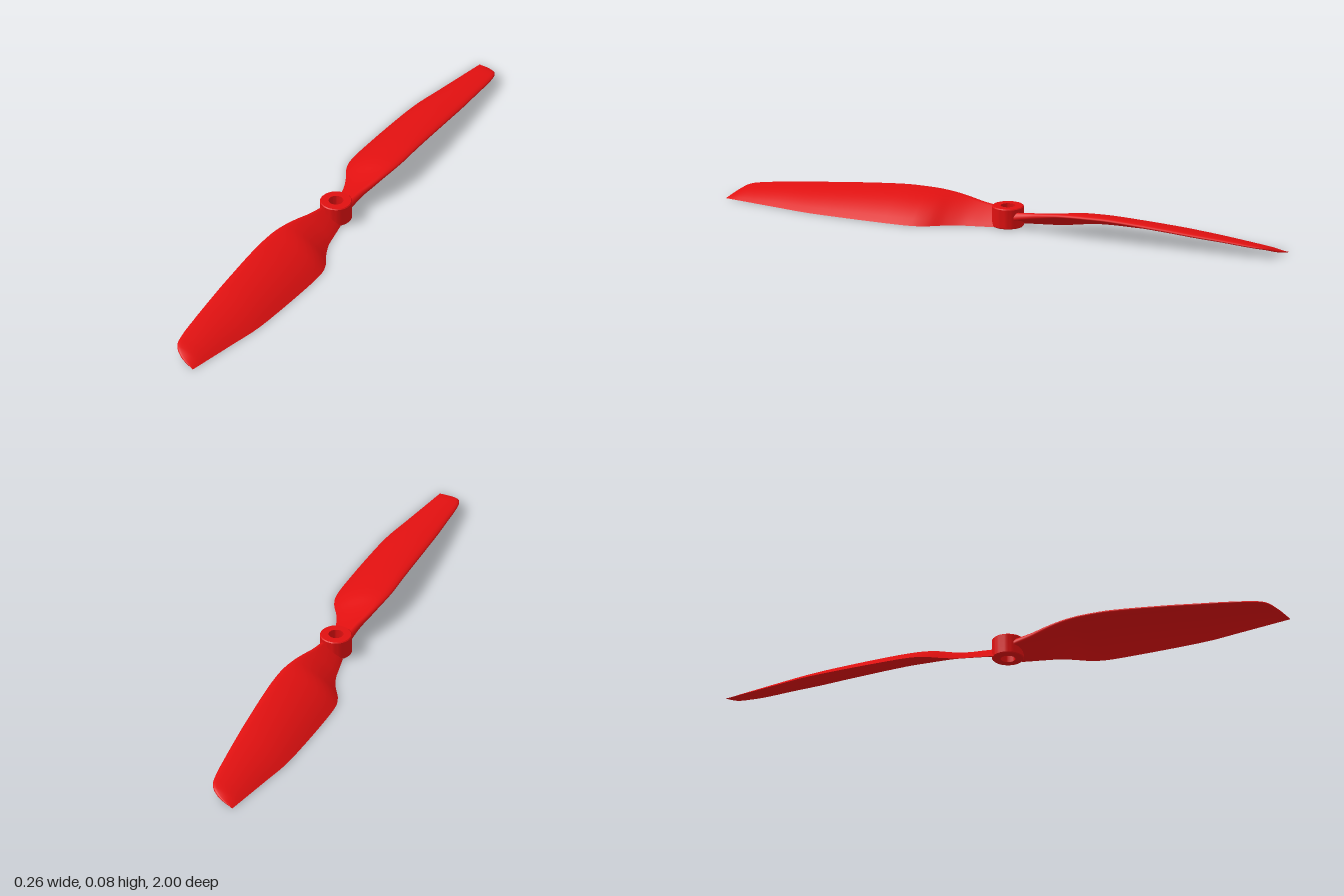
import * as THREE from 'three';
import { toCreasedNormals } from 'three/addons/utils/BufferGeometryUtils.js';

const material = new THREE.MeshStandardMaterial({ color: 0xe01010 });

// Blade stations: z, leading x, leading y, trailing x, thickness, camber
const stations = [
  [0.035, -0.038, 0.046, 0.040, 0.030, 0.002],
  [0.10, -0.046, 0.056, 0.053, 0.024, 0.003],
  [0.15, -0.058, 0.064, 0.064, 0.021, 0.006],
  [0.20, -0.068, 0.071, 0.085, 0.019, 0.011],
  [0.25, -0.076, 0.075, 0.114, 0.018, 0.018],
  [0.30, -0.080, 0.077, 0.129, 0.018, 0.020],
  [0.40, -0.080, 0.077, 0.130, 0.018, 0.020],
  [0.60, -0.075, 0.063, 0.120, 0.016, 0.019],
  [0.70, -0.071, 0.054, 0.110, 0.015, 0.017],
  [0.80, -0.065, 0.046, 0.090, 0.013, 0.014],
  [0.90, -0.057, 0.036, 0.070, 0.011, 0.010],
  [0.95, -0.042, 0.029, 0.060, 0.009, 0.007],
  [0.98, -0.005, 0.014, 0.054, 0.006, 0.003],
  [1.00, 0.048, 0.001, 0.050, 0.001, 0],
];

// Smooth monotone-friendly interpolation between two stations
function stationAt(i, t) {
  const at = (k) => stations[Math.min(Math.max(k, 0), stations.length - 1)];
  const [p, a, b, q] = [at(i - 1), at(i), at(i + 1), at(i + 2)];
  const h = b[0] - a[0];
  return a.map((v, c) => {
    if (c === 0) return v + h * t;
    const m0 = p === a ? (b[c] - v) / h : (b[c] - p[c]) / (b[0] - p[0]);
    const m1 = q === b ? (b[c] - v) / h : (q[c] - v) / (q[0] - a[0]);
    const t2 = t * t, t3 = t2 * t;
    return (2 * t3 - 3 * t2 + 1) * v + (t3 - 2 * t2 + t) * h * m0
      + (3 * t2 - 2 * t3) * b[c] + (t3 - t2) * h * m1;
  });
}

// Closed aerofoil: trailing edge, over the top, round the nose, back below
function section([z, lx, ly, tx, thick, camber]) {
  const half = 16, points = [];
  const dx = tx - lx, dy = -ly, len = Math.hypot(dx, dy);
  for (let k = -half; k <= half; k++) {
    const u = (k / half) ** 2;
    const nose = u < 0.1 ? Math.sqrt(1 - (1 - u / 0.1) ** 2) : 1;
    const offset = camber * 4 * u * (1 - u)
      - Math.sign(k) * thick / 2 * nose * Math.pow(1 - u, 0.7);
    points.push([
      lx + dx * u - dy / len * offset,
      Math.max(0, ly + dy * u + dx / len * offset),
      z,
    ]);
  }
  return points;
}

function bladeGeometry() {
  const rings = [];
  const steps = 5;
  for (let i = 0; i < stations.length - 1; i++) {
    for (let s = 0; s < steps; s++) rings.push(section(stationAt(i, s / steps)));
  }
  rings.push(section(stations[stations.length - 1]));
  const n = rings[0].length, index = [];
  for (let j = 0; j < rings.length - 1; j++) {
    for (let i = 0; i < n - 1; i++) {
      const a = j * n + i, b = a + 1, c = a + n, d = c + 1;
      index.push(a, b, c, b, d, c);
    }
  }
  const geometry = new THREE.BufferGeometry();
  geometry.setAttribute('position', new THREE.Float32BufferAttribute(rings.flat(2), 3));
  geometry.setIndex(index);
  geometry.computeVertexNormals();
  return geometry;
}

// Bored hub with slightly broken outer edges
function hubGeometry() {
  const profile = [
    [0.025, 0], [0.051, 0], [0.054, 0.003], [0.054, 0.067],
    [0.051, 0.07], [0.025, 0.07], [0.025, 0],
  ].map(([r, y]) => new THREE.Vector2(r, y));
  return toCreasedNormals(new THREE.LatheGeometry(profile, 48), 0.5);
}

export function createModel() {
  const model = new THREE.Group();
  model.name = 'propeller';

  const hub = new THREE.Mesh(hubGeometry(), material);
  hub.name = 'hub';
  model.add(hub);

  // Two identical blades, half a turn apart
  const geometry = bladeGeometry();
  ['frontBlade', 'backBlade'].forEach((name, i) => {
    const blade = new THREE.Mesh(geometry, material);
    blade.name = name;
    blade.rotation.y = i * Math.PI;
    model.add(blade);
  });
  return model;
}
